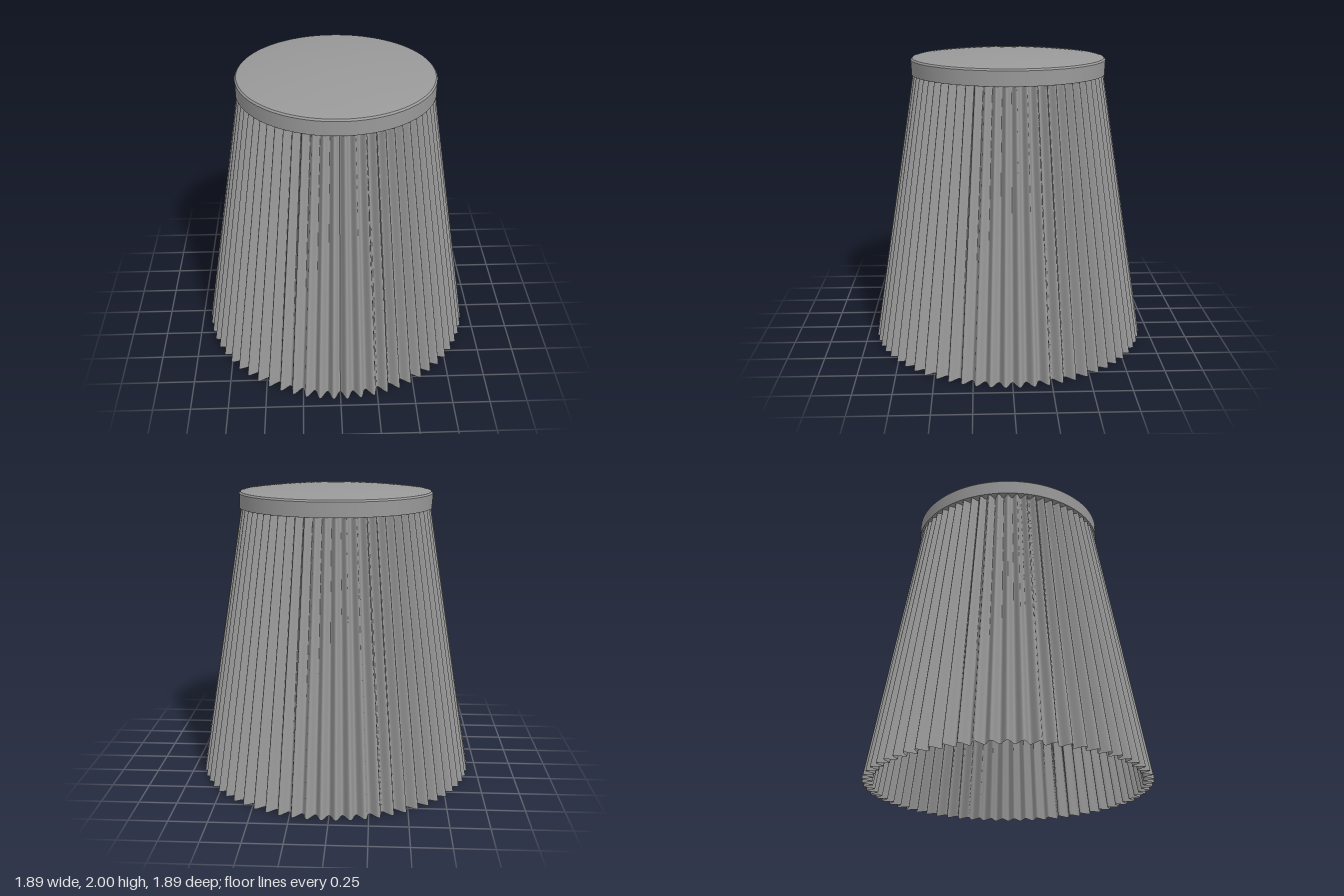
import * as THREE from 'three';
import { toCreasedNormals } from 'three/addons/utils/BufferGeometryUtils.js';

const PLEATS = 64;
const SHADE_TOP = 1.86;

// Open cone whose radius ripples once per pleat
function pleatedShade(rBottom, rTop, depthBottom, depthTop) {
  const geo = new THREE.CylinderGeometry(rTop, rBottom, SHADE_TOP, PLEATS * 12, 1, true);
  geo.translate(0, SHADE_TOP / 2, 0);
  const pos = geo.attributes.position;
  for (let i = 0; i < pos.count; i++) {
    const x = pos.getX(i), y = pos.getY(i), z = pos.getZ(i);
    const t = y / SHADE_TOP;
    const angle = Math.atan2(x, z);
    const depth = THREE.MathUtils.lerp(depthBottom, depthTop, t);
    // Valleys sit on the x and z axes
    const r = THREE.MathUtils.lerp(rBottom, rTop, t) - depth * (0.5 + 0.5 * Math.cos(angle * PLEATS));
    pos.setXYZ(i, Math.sin(angle) * r, y, Math.cos(angle) * r);
  }
  geo.computeVertexNormals();
  return geo;
}

// Band with a shallow domed top
function capGeometry() {
  const profile = [[0, 1.85], [0.65, 1.85], [0.65, 1.945], [0.64, 1.956]];
  for (let i = 9; i >= 0; i--) {
    const r = 0.62 * i / 9;
    profile.push([r, 2 - 0.04 * (r / 0.62) ** 2]);
  }
  const points = profile.map(([r, y]) => new THREE.Vector2(r, y));
  return toCreasedNormals(new THREE.LatheGeometry(points, 96), 0.6);
}

export function createModel() {
  const group = new THREE.Group();
  const fabric = new THREE.MeshStandardMaterial({ color: 0x999999, side: THREE.DoubleSide });
  fabric.name = 'greyFabric';

  const shade = new THREE.Mesh(pleatedShade(0.945, 0.638, 0.07, 0.047), fabric);
  shade.name = 'pleatedShade';

  const cap = new THREE.Mesh(capGeometry(), fabric);
  cap.name = 'domedCap';

  group.add(shade, cap);
  return group;
}
